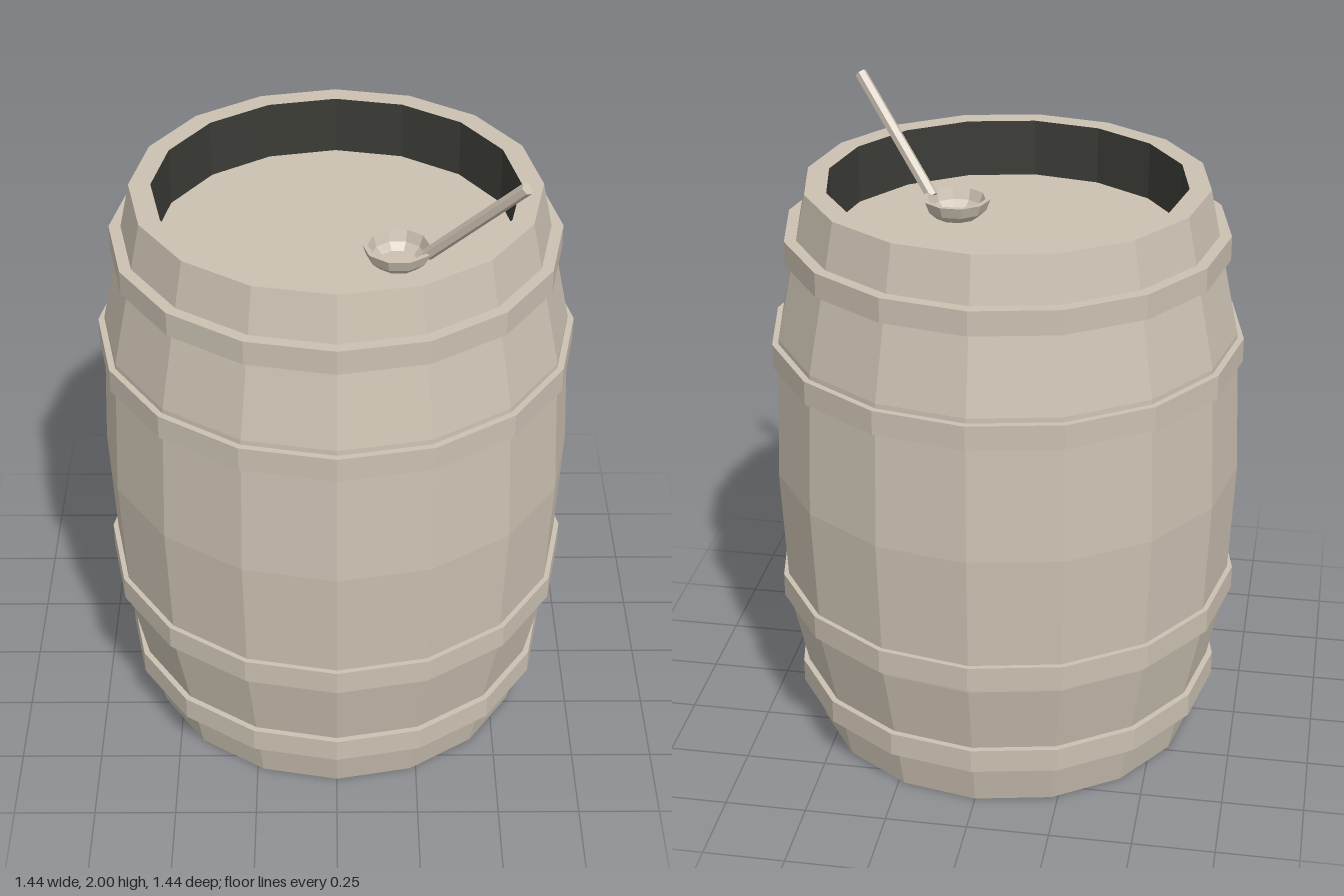
import * as THREE from 'three';

const material = (name, color) => {
  const m = new THREE.MeshStandardMaterial({ color, flatShading: true });
  m.name = name;
  return m;
};

export function createModel() {
  const wood = material('pale wood', 0xcbc1b2);
  const dark = material('dark wood', 0x3b3c36);
  const model = new THREE.Group();
  model.name = 'barrel';

  // Profile points [radius, height], running up the outside and in over the top
  const turned = (name, points, mat, sides = 16) => {
    const profile = points.map(([r, y]) => new THREE.Vector2(r, y));
    const mesh = new THREE.Mesh(new THREE.LatheGeometry(profile, sides), mat);
    mesh.name = name;
    model.add(mesh);
    return mesh;
  };

  // Barrel body with its rim
  turned('staves', [[0.605, 0], [0.7, 0.45], [0.72, 0.9], [0.7, 1.35], [0.605, 1.8], [0.54, 1.8]], wood);
  turned('base', [[0, 0], [0.605, 0]], dark);
  turned('innerWall', [[0.54, 1.8], [0.54, 1.62]], dark);
  turned('lid', [[0.54, 1.62], [0, 1.62]], wood);

  // Hoops: [bottom height, outer radius]
  for (const [y, r] of [[0.145, 0.67], [0.47, 0.72], [1.26, 0.72], [1.585, 0.67]]) {
    const inner = r - 0.06;
    const top = y + 0.075;
    turned('hoop', [[r, y], [r, top], [inner, top]], wood);
    turned('hoopUnderside', [[inner, y], [r, y]], y < 0.2 ? dark : wood);
  }

  // Ladle bowl resting on the lid
  const bowl = turned('ladleBowl', [
    [0, 0], [0.065, 0], [0.092, 0.025], [0.105, 0.06],
    [0.09, 0.06], [0.078, 0.027], [0.058, 0.006], [0, 0.006],
  ], wood, 10);
  bowl.position.set(0.18, 1.618, 0.14);
  bowl.rotation.y = Math.PI / 10;

  // Ladle handle leaning out over the rim
  const start = new THREE.Vector3(0.262, 1.665, 0.172);
  const end = new THREE.Vector3(0.52, 1.986, 0.36);
  const axis = end.clone().sub(start);
  const handle = new THREE.Mesh(new THREE.CylinderGeometry(0.019, 0.019, axis.length(), 6), wood);
  handle.name = 'ladleHandle';
  handle.position.copy(start).add(end).multiplyScalar(0.5);
  handle.quaternion.setFromUnitVectors(new THREE.Vector3(0, 1, 0), axis.normalize());
  model.add(handle);

  return model;
}
